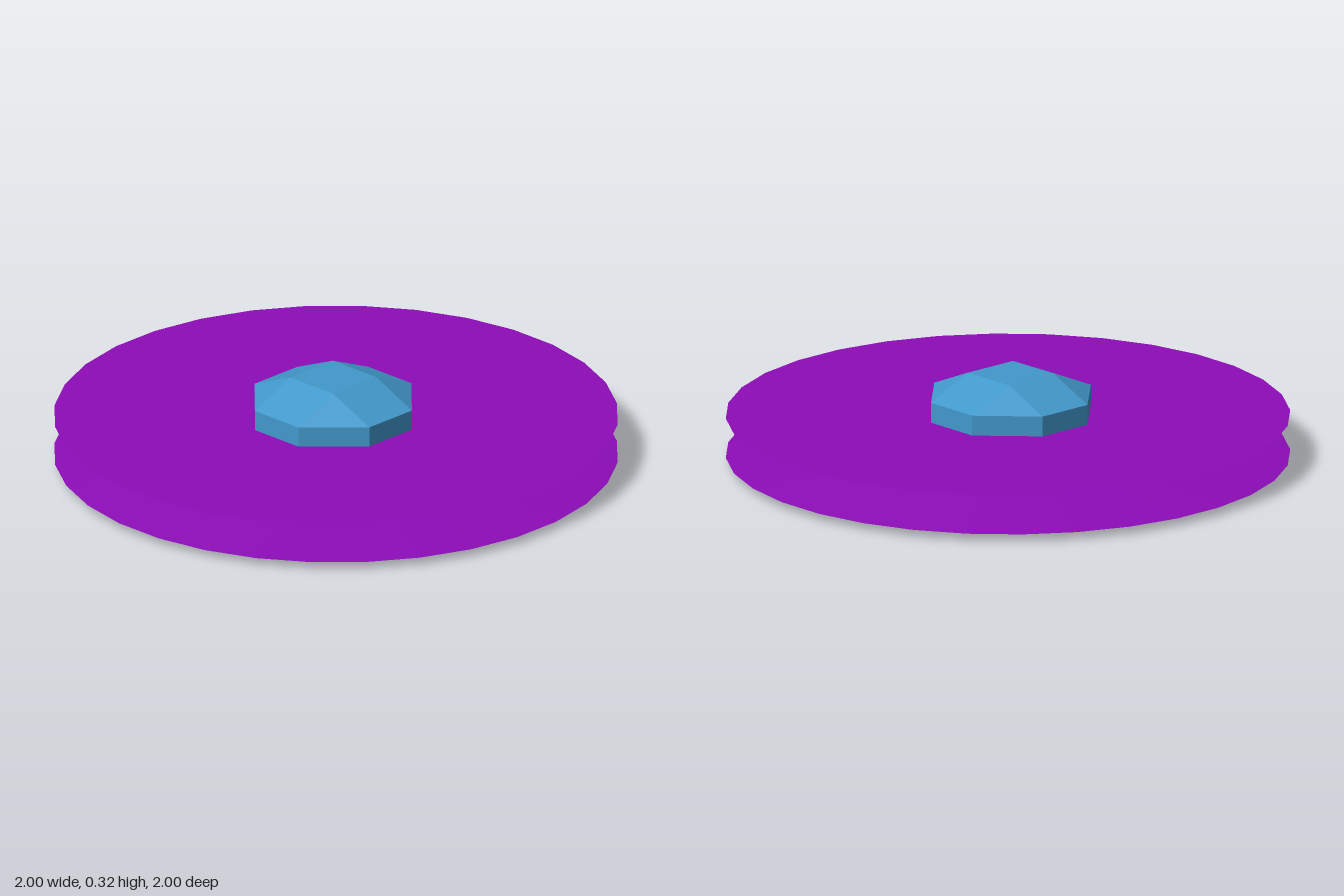
import * as THREE from 'three';
import { ConvexGeometry } from 'three/addons/geometries/ConvexGeometry.js';

const SIDES = 32;

export function createModel() {
  const group = new THREE.Group();
  const purple = new THREE.MeshStandardMaterial({ color: 0x8d0cb8, flatShading: true });
  const blue = new THREE.MeshStandardMaterial({ color: 0x4299cc, flatShading: true });

  const add = (name, geometry, material, y, z = 0) => {
    const mesh = new THREE.Mesh(geometry, material);
    mesh.name = name;
    mesh.position.set(0, y, z);
    group.add(mesh);
    return mesh;
  };

  // Two shallow cones meeting at a narrow neck
  const rim = 1 / Math.cos(Math.PI / SIDES), neck = 0.25, h = 0.073;
  const cone = (top, bottom) =>
    new THREE.CylinderGeometry(top, bottom, h, SIDES, 1, false, Math.PI / SIDES);
  add('upperDisc', cone(rim, neck), purple, 0.102 + h / 2);
  add('lowerDisc', cone(neck, rim), purple, 0.102 - h / 2);

  // Faceted cabin: a flattened cube with bevelled edges and corners
  const a = 0.108, b = 0.286, flat = 0.43;
  const points = [];
  for (const sx of [-1, 1]) for (const sy of [-1, 1]) for (const sz of [-1, 1]) {
    for (const [x, y, z] of [[b, a, a], [a, b, a], [a, a, b]]) {
      points.push(new THREE.Vector3(sx * x, sy * y * flat, sz * z));
    }
  }
  add('cabin', new ConvexGeometry(points), blue, 0.202, 0.014);

  // Ring-shaped thruster under the hull
  const thruster = new THREE.TorusGeometry(0.065, 0.05, 16, 48);
  thruster.rotateX(Math.PI / 2);
  add('thruster', thruster, purple, 0.05);

  return group;
}
